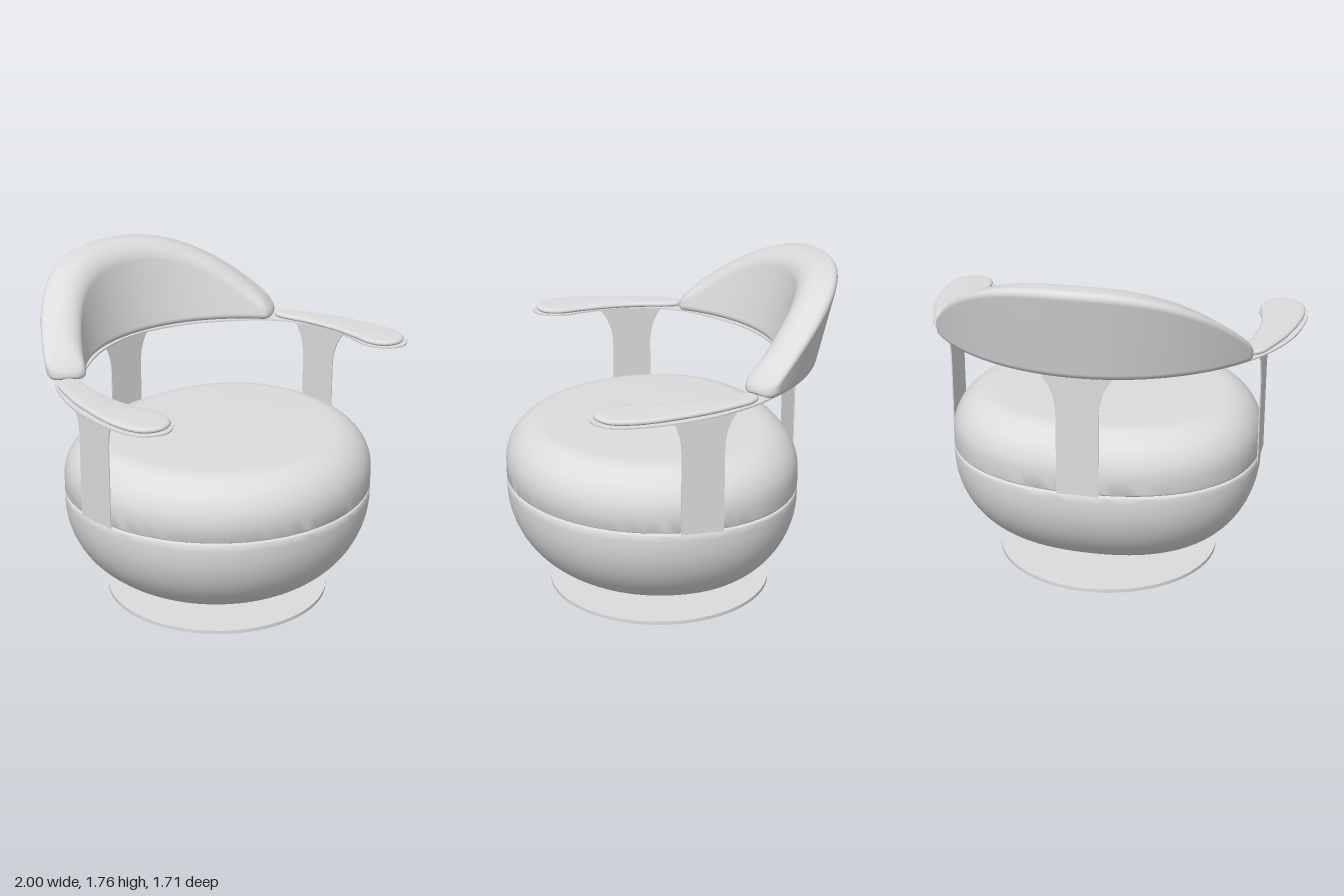
import * as THREE from 'three';
import { mergeVertices, toCreasedNormals } from 'three/addons/utils/BufferGeometryUtils.js';

const V2 = (x, y) => new THREE.Vector2(x, y);
const H = Math.PI / 2;
const grey = new THREE.MeshStandardMaterial({ color: 0xdcdcdc });
grey.name = 'light grey';

function add(group, name, geometry) {
  const mesh = new THREE.Mesh(geometry, grey);
  mesh.name = name;
  group.add(mesh);
  return mesh;
}

// Points of a rounded corner from angle a to b
function arc(cx, cy, rx, ry, a, b, n) {
  return Array.from({ length: n + 1 }, (_, i) => {
    const t = a + (b - a) * i / n;
    return V2(cx + rx * Math.cos(t), cy + ry * Math.sin(t));
  });
}

// Lathe with a round front half and a shallower, squarer back half
function seatLathe(points) {
  let geo = new THREE.LatheGeometry(points, 96);
  const p = geo.attributes.position;
  const soften = (v) => Math.sign(v) * Math.pow(Math.abs(v), 2 / 2.27);
  for (let i = 0; i < p.count; i++) {
    const x = p.getX(i), z = p.getZ(i), r = Math.hypot(x, z);
    if (z < -1e-6 && r > 0) {
      const depth = r > 0.3 ? r - 0.12 : r * 0.6;
      p.setX(i, r * soften(x / r));
      p.setZ(i, depth * soften(z / r));
    }
  }
  geo.translate(0, 0, 0.04);
  geo.deleteAttribute('uv');
  geo.deleteAttribute('normal');
  geo = mergeVertices(geo, 1e-5);
  return toCreasedNormals(geo, 0.6);
}

// Flat plate with a smooth closed outline given as [x, z]
function plate(outline, depth, bevel) {
  const curve = new THREE.CatmullRomCurve3(
    outline.map(([x, z]) => new THREE.Vector3(x, -z, 0)), true, 'centripetal');
  const shape = new THREE.Shape(curve.getPoints(120).slice(0, -1).map(p => V2(p.x, p.y)));
  const geo = new THREE.ExtrudeGeometry(shape, {
    depth: depth - 2 * bevel, bevelEnabled: bevel > 0, bevelThickness: bevel,
    bevelSize: bevel * 1.5, bevelOffset: -bevel * 1.5, bevelSegments: 5,
  });
  geo.translate(0, 0, bevel);
  geo.rotateX(-H);
  return toCreasedNormals(geo, 0.6);
}

// Curved back cushion: rounded sections swept round an arc, leaning back
function backCushion() {
  const end = 56.2, steps = 96, corner = 7, centre = 0.255, rIn = 0.803, rOut = 1, base = 1.279;
  const w = rOut - rIn, pos = [], index = [];
  let ring = 0;
  for (let i = 0; i <= steps; i++) {
    const deg = end * Math.sin(H * (2 * i / steps - 1));
    const t = deg * Math.PI / 180;
    const tip = Math.max(0, (Math.abs(deg) - (end - 4)) / 4);
    const k = Math.pow(Math.max(0, 1 - Math.pow(tip, 2.6)), 1 / 2.6);
    const h = 0.477 * (1 - Math.pow(Math.abs(deg) / 60, 2.4));
    const ry = (r) => Math.min(r, h * 0.48);
    const section = [
      ...arc(w - 0.035, ry(0.035), 0.035, ry(0.035), -H, 0, corner),
      ...arc(w - 0.04, h - ry(0.04), 0.04, ry(0.04), 0, H, corner),
      ...arc(0.1, h - ry(0.1), 0.1, ry(0.1), H, 2 * H, corner),
      ...arc(0.035, ry(0.035), 0.035, ry(0.035), 2 * H, 3 * H, corner),
    ];
    ring = section.length;
    for (const s of section) {
      const r = rIn + w / 2 + (s.x - w / 2) * k;
      const y = h / 2 + (s.y - h / 2) * k;
      pos.push(r * Math.sin(t), base + y, centre - r * Math.cos(t) - y * 0.25);
    }
  }
  for (let i = 0; i < steps; i++) {
    for (let j = 0; j < ring; j++) {
      const a = i * ring + j, b = i * ring + (j + 1) % ring;
      index.push(a, b, a + ring, b, b + ring, a + ring);
    }
  }
  const geo = new THREE.BufferGeometry();
  geo.setAttribute('position', new THREE.Float32BufferAttribute(pos, 3));
  geo.setIndex(index);
  geo.computeVertexNormals();
  return geo;
}

// Thin upright strap that flares where it meets the rail
function strap() {
  const s = new THREE.Shape();
  s.moveTo(-0.107, 0.625);
  s.lineTo(0.107, 0.625);
  s.lineTo(0.107, 1.05);
  s.bezierCurveTo(0.107, 1.15, 0.135, 1.21, 0.19, 1.272);
  s.lineTo(-0.19, 1.272);
  s.bezierCurveTo(-0.135, 1.21, -0.107, 1.15, -0.107, 1.05);
  s.closePath();
  return new THREE.ExtrudeGeometry(s, { depth: 0.006, bevelEnabled: false, curveSegments: 16 });
}

export function createModel() {
  const model = new THREE.Group();
  model.name = 'swivelArmchair';

  // Base disc and swivel post
  const disc = add(model, 'baseDisc', new THREE.CylinderGeometry(0.59, 0.59, 0.019, 72));
  disc.position.set(0, 0.0155, 0.05);
  const post = add(model, 'post', new THREE.LatheGeometry(
    [V2(0, 0), V2(0.06, 0.001), V2(0.09, 0.004), V2(0.107, 0.012), V2(0.107, 0.13)], 40));
  post.position.z = 0.05;

  // Rounded seat shell
  add(model, 'seatShell', seatLathe([
    V2(0, 0.102),
    ...arc(0.336, 0.582, 0.48, 0.48, -H, 0, 24),
    ...arc(0.806, 0.612, 0.01, 0.01, 0, H, 4),
    V2(0, 0.622),
  ]));

  // Seat cushion, resting on the shell with a fine groove between them
  add(model, 'seatCushion', seatLathe([
    V2(0, 0.6225),
    V2(0.79, 0.6225),
    ...arc(0.804, 0.639, 0.012, 0.012, -H, 0, 4),
    ...arc(0.606, 0.715, 0.21, 0.21, 0, H, 16),
    V2(0, 0.925),
  ]));

  // Thin rail running round the back and both arms
  const outer = [[0.86, 0.575], [0.965, 0.52], [1, 0.38], [0.97, 0.08], [0.895, -0.13],
    [0.8, -0.29], [0.61, -0.485], [0.33, -0.635]];
  const inner = [[0.3, -0.495], [0.54, -0.35], [0.69, -0.21], [0.77, -0.03],
    [0.785, 0.12], [0.765, 0.3], [0.737, 0.42], [0.77, 0.53]];
  const flip = (list) => list.map(([x, z]) => [-x, z]).reverse();
  const rail = add(model, 'armRail', plate(
    [...outer, [0, -0.693], ...flip(outer), ...flip(inner), [0, -0.56], ...inner], 0.008, 0));
  rail.position.y = 1.271;

  // Arm pads
  const pad = [[0.86, 0.555], [0.95, 0.505], [0.985, 0.36], [0.94, 0.05], [0.885, -0.12],
    [0.84, -0.22], [0.79, -0.256], [0.74, -0.235], [0.734, -0.18], [0.765, -0.03], [0.778, 0.15],
    [0.762, 0.32], [0.745, 0.43], [0.775, 0.52]];
  for (const [name, outline] of [['leftArmPad', pad], ['rightArmPad', flip(pad)]]) {
    add(model, name, plate(outline, 0.028, 0.0135)).position.y = 1.278;
  }

  // Back cushion
  add(model, 'backCushion', backCushion());

  // Three straps holding the rail
  const straps = [['backStrap', 0, -0.656, Math.PI], ['leftStrap', 0.817, 0.02, H],
    ['rightStrap', -0.817, 0.02, -H]];
  for (const [name, x, z, turn] of straps) {
    const s = add(model, name, strap());
    s.position.set(x, 0, z);
    s.rotation.y = turn;
  }
  return model;
}
